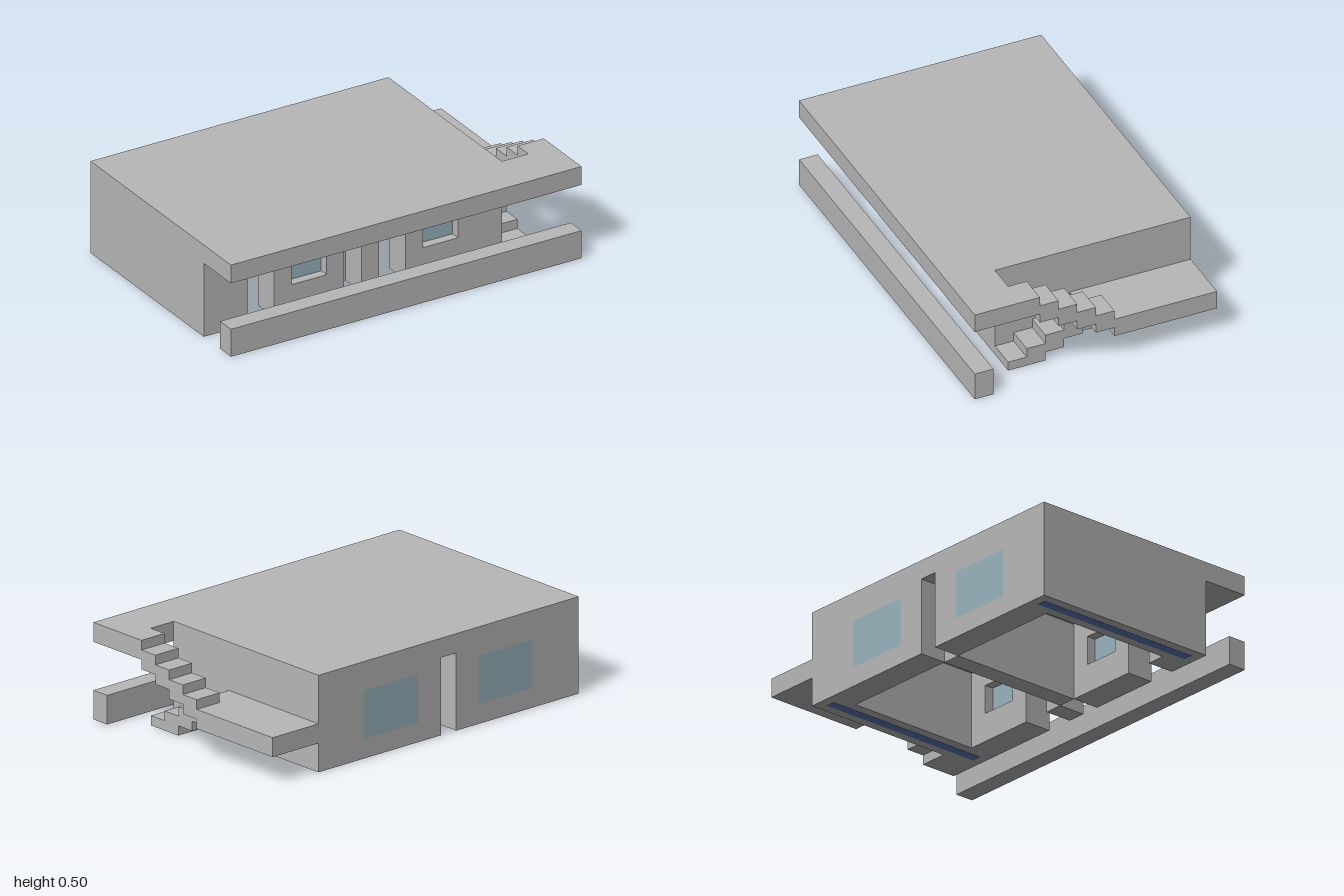
import * as THREE from 'three';

const concrete = new THREE.MeshStandardMaterial({ name: 'concrete', color: 0xb8b8b8 });
const glass = new THREE.MeshStandardMaterial({ name: 'paleGlass', color: 0x98b4be });
const blue = new THREE.MeshStandardMaterial({ name: 'deepBlue', color: 0x5c78b8 });

// Box given by its limits on each axis
function block(name, [x0, x1], [y0, y1], [z0, z1], material = concrete) {
  const mesh = new THREE.Mesh(new THREE.BoxGeometry(x1 - x0, y1 - y0, z1 - z0), material);
  mesh.position.set((x0 + x1) / 2, (y0 + y1) / 2, (z0 + z1) / 2);
  mesh.name = name;
  return mesh;
}

function polygon(points) {
  return new THREE.Shape(points.map(([x, y]) => new THREE.Vector2(x, y)));
}

function extrude(name, shape, depth) {
  const geometry = new THREE.ExtrudeGeometry(shape, { depth, bevelEnabled: false });
  const mesh = new THREE.Mesh(geometry, concrete);
  mesh.name = name;
  return mesh;
}

function rectHole([x0, x1], [y0, y1]) {
  return new THREE.Path([[x0, y0], [x0, y1], [x1, y1], [x1, y0]].map(([x, y]) => new THREE.Vector2(x, y)));
}

const T = 0.15;      // wall thickness
const H = 0.4;       // wall height
const BACK = -0.65;
const FRONT = 0.4;

// One room: front wall with door and window, back wall with a wide pane
function room(name, x0, x1, shift) {
  const g = new THREE.Group();
  g.name = name;
  const d0 = -0.75 + shift, d1 = -0.6 + shift;
  const win = [-0.5 + shift, -0.3 + shift];
  const pane = [-0.7 + shift, -0.35 + shift];

  const frontShape = polygon([[x0, 0], [d0, 0], [d0, 0.3], [d1, 0.3], [d1, 0], [x1, 0], [x1, H], [x0, H]]);
  frontShape.holes.push(rectHole(win, [0.15, 0.3]));
  const frontWall = extrude('frontWall', frontShape, T);
  frontWall.position.z = FRONT - T;

  const backShape = polygon([[x0, 0], [x1, 0], [x1, H], [x0, H]]);
  backShape.holes.push(rectHole(pane, [0.1, 0.35]));
  const backWall = extrude('backWall', backShape, T);
  backWall.position.z = BACK;

  g.add(frontWall, backWall,
    block('frontWindow', win, [0.15, 0.3], [0.3, 0.35], glass),
    block('backWindow', pane, [0.1, 0.35], [BACK, BACK + T], glass));
  return g;
}

export function createModel() {
  const model = new THREE.Group();
  model.name = 'house';

  model.add(room('leftRoom', -0.1, 0.7, 0.75), room('rightRoom', -1, -0.2, 0));

  // Side walls with a blue strip set into the underside, and the partition
  for (const [side, x] of [['right', -1], ['left', 0.7 - T]]) {
    model.add(block(side + 'SideWall', [x, x + T], [0, H], [BACK + T, FRONT - T]));
    model.add(block(side + 'WallStrip', [x + 0.05, x + 0.1], [-0.001, 0.004], [-0.6, 0.35], blue));
  }
  model.add(block('partition', [-0.2, -0.1], [0, H], [BACK + T, FRONT - T]));

  // Flat roof, notched over the stairs (drawn as x, -z)
  const roof = extrude('roof', polygon([
    [-1, -0.65], [1, -0.65], [1, -0.3], [0.85, -0.3], [0.85, -0.4], [0.7, -0.4], [0.7, 0.65], [-1, 0.65],
  ]), 0.1);
  roof.rotation.x = -Math.PI / 2;
  roof.position.y = H;
  model.add(roof);

  // Low wall along the front
  model.add(block('lowWall', [-1, 1], [0, 0.15], [0.55, 0.65]));

  // Stairs: lower flight to the landing, upper flight back to the roof
  const stairs = new THREE.Group();
  stairs.name = 'stairs';
  stairs.add(block('landing', [0.7, 1], [0.15, 0.25], [BACK, -0.1]));
  for (let i = 0; i < 5; i++) {
    const top = 0.05 * (i + 1);
    const z = 0.3 - 0.1 * i;
    stairs.add(block('lowerStep', [0.7, 0.85], [Math.max(0, top - 0.1), top], [z, z + 0.1]));
  }
  for (let i = 0; i < 4; i++) {
    const top = 0.3 + 0.05 * i;
    const z = -0.1 + 0.1 * i;
    stairs.add(block('upperStep', [0.85, 1], [top - 0.1, top], [z, z + 0.1]));
  }
  model.add(stairs);

  return model;
}
